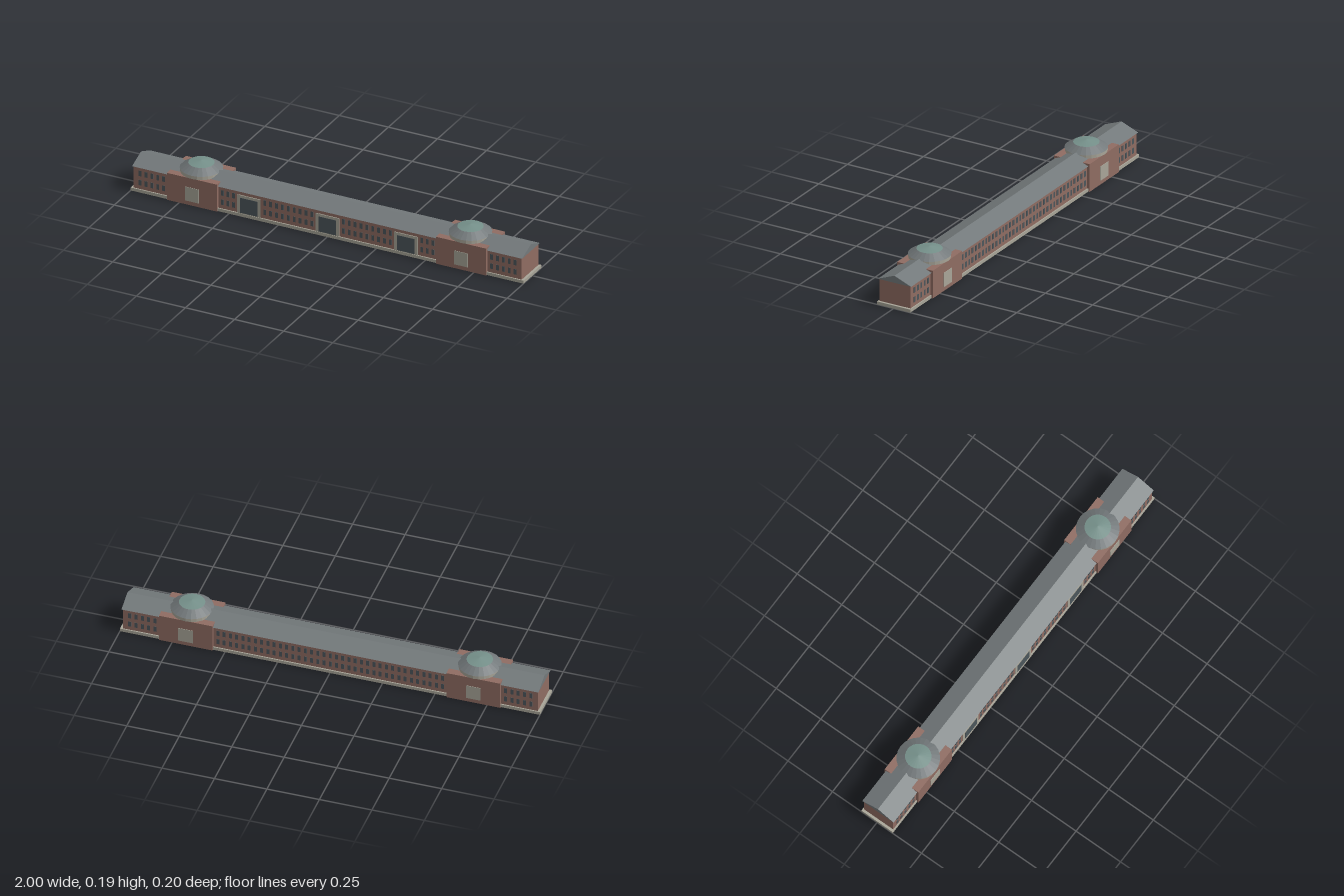
import * as THREE from 'three';

const mat = (color) => new THREE.MeshStandardMaterial({ color, flatShading: true });
const brick = mat(0x8f6c62), stone = mat(0xa8a598), slate = mat(0x73797b);
const glass = mat(0x4c565b), copper = mat(0x75908a);

function add(parent, name, geometry, material, x = 0, y = 0, z = 0) {
  const mesh = new THREE.Mesh(geometry, material);
  mesh.name = name;
  mesh.position.set(x, y, z);
  parent.add(mesh);
  return mesh;
}

// Box given by its centre in x and z and its bottom and top heights
function block(parent, name, material, w, y0, y1, d, x = 0, z = 0) {
  return add(parent, name, new THREE.BoxGeometry(w, y1 - y0, d), material, x, (y0 + y1) / 2, z);
}

// Two rows of evenly spaced windows between x0 and x1 on the wall at z
function windows(parent, x0, x1, z) {
  const count = Math.round((x1 - x0) / 0.03);
  const step = (x1 - x0) / count;
  for (let i = 0; i < count; i++) {
    const x = x0 + (i + 0.5) * step;
    for (const y of [0.034, 0.081]) block(parent, 'window', glass, 0.014, y, y + 0.027, 0.003, x, z);
  }
}

// Low round tower top: drum, sloping skirt and shallow glazed cap
function dome(parent, x) {
  const group = new THREE.Group();
  group.name = 'dome';
  group.position.x = x;
  const sides = 24;
  add(group, 'drum', new THREE.CylinderGeometry(0.097, 0.097, 0.017, sides), stone, 0, 0.1455, 0);
  add(group, 'domeSkirt', new THREE.CylinderGeometry(0.06, 0.099, 0.025, sides), slate, 0, 0.1665, 0);
  add(group, 'domeCap', new THREE.ConeGeometry(0.06, 0.011, sides), copper, 0, 0.1845, 0);
  parent.add(group);
}

export function createModel() {
  const model = new THREE.Group();
  model.name = 'longBuilding';

  // Plinth and main hall
  block(model, 'plinth', stone, 2, 0, 0.015, 0.176);
  block(model, 'hall', brick, 1.976, 0.015, 0.126, 0.164);

  // Gabled roof as one long prism
  const gable = new THREE.Shape([
    new THREE.Vector2(-0.088, 0.125),
    new THREE.Vector2(0.088, 0.125),
    new THREE.Vector2(0, 0.16),
  ]);
  const roof = new THREE.ExtrudeGeometry(gable, { depth: 1.986, bevelEnabled: false });
  roof.translate(0, 0, -0.993).rotateY(Math.PI / 2);
  add(model, 'roof', roof, slate);

  // Cross pavilions with a stone panel on both faces and a dome on top
  for (const side of [-1, 1]) {
    const x = side * 0.685;
    block(model, 'pavilion', brick, 0.256, 0, 0.137, 0.189, x);
    for (const face of [-1, 1]) {
      block(model, 'pavilionPanel', stone, 0.07, 0.02, 0.09, 0.004, x, face * 0.0945);
    }
    dome(model, x);
  }

  // Framed gateways on the front
  for (const x of [-0.4, 0, 0.4]) {
    block(model, 'gateFrame', stone, 0.118, 0.015, 0.107, 0.008, x, 0.082);
    block(model, 'gate', glass, 0.088, 0.018, 0.094, 0.01, x, 0.082);
  }

  // Windows: front bays between gateways, an unbroken run at the back, and end wings
  const front = 0.082, back = -0.082;
  for (const [x0, x1] of [[-0.55, -0.465], [-0.335, -0.065], [0.065, 0.335], [0.465, 0.55]]) {
    windows(model, x0, x1, front);
  }
  windows(model, -0.55, 0.55, back);
  for (const z of [front, back]) {
    windows(model, -0.97, -0.82, z);
    windows(model, 0.82, 0.97, z);
  }
  return model;
}
